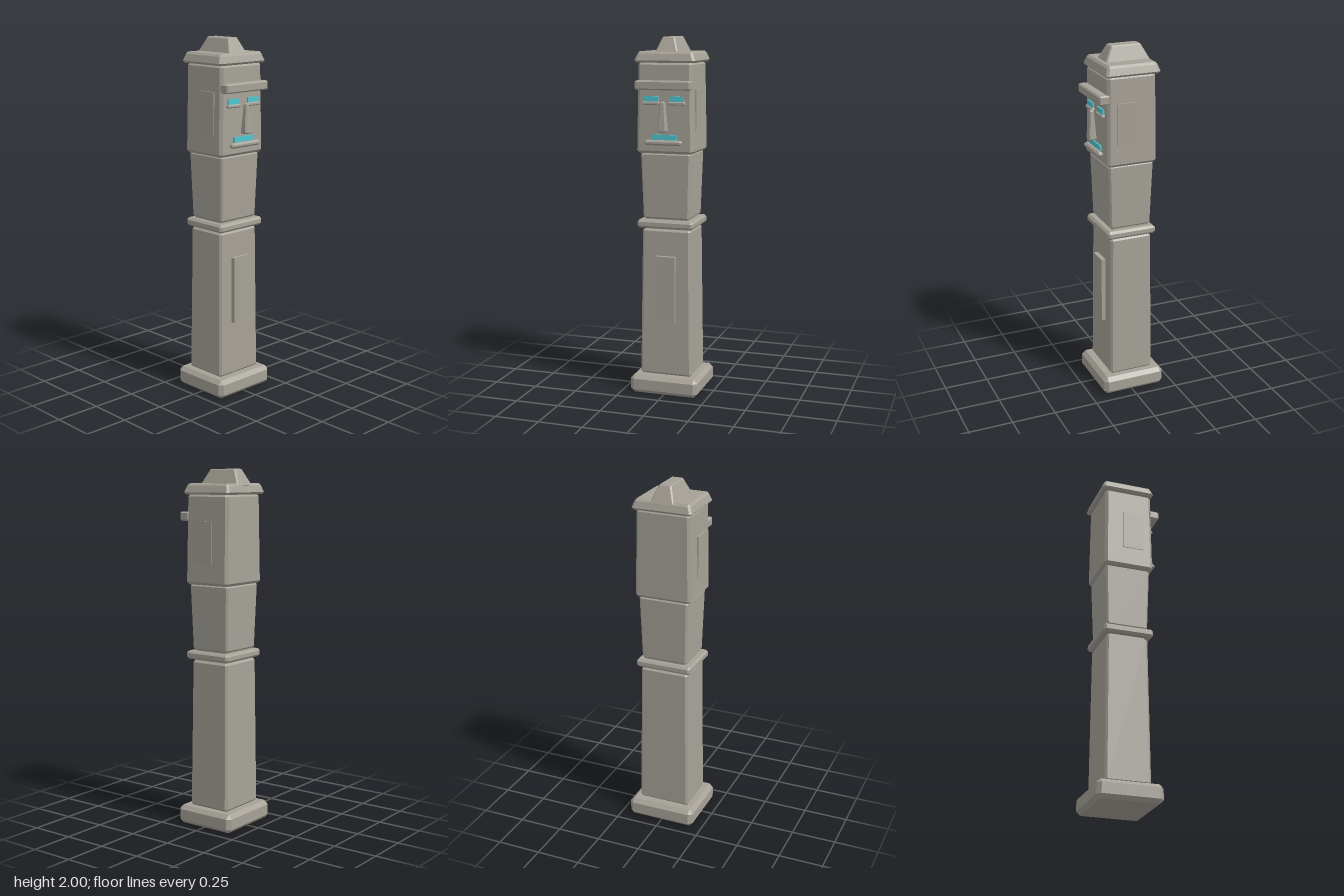
import * as THREE from 'three';

// Eight-cornered rectangle with cut corners at height y
function ring(y, hx, hz, cut) {
  const a = hx - cut, b = hz - cut;
  return [[a, hz], [hx, b], [hx, -b], [a, -hz], [-a, -hz], [-hx, -b], [-hx, b], [-a, hz]]
    .map(([x, z]) => [x, y, z]);
}

// Tapered block, bevelled along every edge, centred on its own x and z axes
function bevelBlock(y0, y1, bottom, top, bevel) {
  const small = 0.0005;
  const rings = [
    ring(y0, bottom[0] - bevel, bottom[1] - bevel, small),
    ring(y0 + bevel, bottom[0], bottom[1], bevel),
    ring(y1 - bevel, top[0], top[1], bevel),
    ring(y1, top[0] - bevel, top[1] - bevel, small),
  ];
  const pos = [];
  const tri = (a, b, c) => pos.push(...a, ...b, ...c);
  for (let r = 0; r < 3; r++) {
    for (let i = 0; i < 8; i++) {
      const j = (i + 1) % 8;
      const [a, b, c, d] = [rings[r][i], rings[r][j], rings[r + 1][j], rings[r + 1][i]];
      tri(a, b, c);
      tri(a, c, d);
    }
  }
  for (let i = 1; i < 7; i++) {
    tri(rings[0][0], rings[0][i + 1], rings[0][i]);
    tri(rings[3][0], rings[3][i], rings[3][i + 1]);
  }
  const geo = new THREE.BufferGeometry();
  geo.setAttribute('position', new THREE.Float32BufferAttribute(pos, 3));
  geo.computeVertexNormals();
  return geo;
}

export function createModel() {
  const model = new THREE.Group();
  model.name = 'stonePillar';
  const stone = new THREE.MeshStandardMaterial({ color: 0xa6a298 });
  const glow = new THREE.MeshStandardMaterial({ color: 0x50c6d0 });

  const add = (name, geo, mat, x = 0, y = 0, z = 0) => {
    const mesh = new THREE.Mesh(geo, mat);
    mesh.name = name;
    mesh.position.set(x, y, z);
    model.add(mesh);
    return mesh;
  };
  const block = (name, y0, y1, bottom, top, bevel, z, x = 0) =>
    add(name, bevelBlock(y0, y1, bottom, top, bevel), stone, x, 0, z);
  const plate = (name, mat, w, h, d, x, y, z) =>
    add(name, new THREE.BoxGeometry(w, h, d), mat, x, y, z);

  // Column, bottom to top
  block('base', 0, 0.105, [0.197, 0.183], [0.197, 0.183], 0.022, -0.01);
  block('lowerShaft', 0.105, 0.945, [0.15, 0.128], [0.139, 0.12], 0.012, -0.01);
  block('shaftCore', 0.9, 1.05, [0.125, 0.108], [0.125, 0.108], 0.01, -0.01);
  block('waistBand', 0.952, 0.998, [0.162, 0.143], [0.162, 0.143], 0.012, -0.006);
  block('upperShaft', 1.003, 1.372, [0.133, 0.119], [0.143, 0.13], 0.01, -0.008);
  block('head', 1.37, 1.866, [0.162, 0.143], [0.153, 0.138], 0.015, -0.006);
  block('cap', 1.862, 1.922, [0.171, 0.155], [0.158, 0.143], 0.012, -0.01);
  block('crest', 1.905, 2, [0.067, 0.13], [0.036, 0.088], 0.007, -0.022);

  // Raised panels on the chest and the sides of the head
  plate('chestPanel', stone, 0.116, 0.38, 0.03, 0, 0.605, 0.121);
  for (const s of [-1, 1]) {
    plate('earPanel', stone, 0.02, 0.23, 0.122, s * 0.154, 1.605, 0.019);
  }

  // Face
  block('brow', 1.718, 1.768, [0.156, 0.03], [0.156, 0.03], 0.007, 0.15);
  block('nose', 1.492, 1.656, [0.026, 0.022], [0.014, 0.012], 0.006, 0.166);
  for (const s of [-1, 1]) {
    plate('eye', glow, 0.08, 0.034, 0.009, s * 0.073, 1.666, 0.141);
    block('lowerLid', 1.636, 1.655, [0.048, 0.011], [0.048, 0.011], 0.005, 0.143, s * 0.073);
  }
  plate('mouth', glow, 0.146, 0.03, 0.009, 0, 1.46, 0.143);
  block('lowerLip', 1.419, 1.447, [0.106, 0.016], [0.106, 0.016], 0.009, 0.155);

  return model;
}
